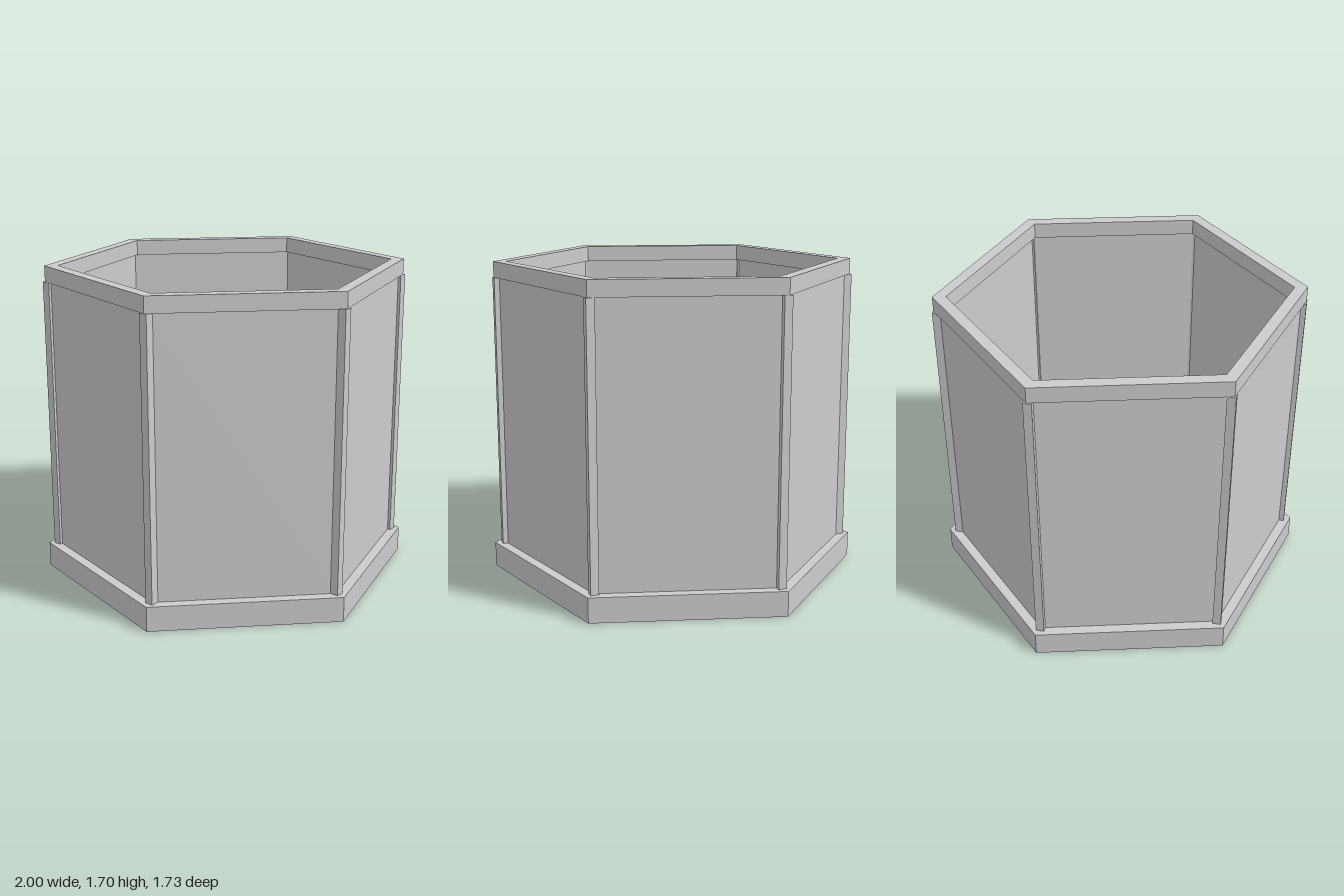
import * as THREE from 'three';

const SIDES = 6;
const BASE_TOP = 0.135, RIM_BOTTOM = 1.615, TOP = 1.7;
const WALL_R = 0.94, WALL_INNER_R = 0.92;
const APOTHEM = WALL_R * Math.cos(Math.PI / SIDES);

const material = new THREE.MeshStandardMaterial({ color: 0xcccccc, flatShading: true });

function addMesh(parent, name, geometry) {
  const mesh = new THREE.Mesh(geometry, material);
  mesh.name = name;
  parent.add(mesh);
  return mesh;
}

// Corners of a regular hexagon with points on the x axis
function hexPoints(r) {
  return Array.from({ length: SIDES }, (_, i) => {
    const a = (i / SIDES) * Math.PI * 2;
    return new THREE.Vector2(Math.cos(a) * r, Math.sin(a) * r);
  });
}

// Upright hexagonal prism, hollow when an inner radius is given
function hexPrism(outer, inner, y0, y1) {
  const shape = new THREE.Shape(hexPoints(outer));
  if (inner > 0) shape.holes.push(new THREE.Path(hexPoints(inner)));
  return new THREE.ExtrudeGeometry(shape, { depth: y1 - y0, bevelEnabled: false })
    .rotateX(-Math.PI / 2)
    .translate(0, y0, 0);
}

// Octagonal plate with a triangle, inlaid just under the wall surface
function createEmblem() {
  const emblem = new THREE.Group();
  const plate = addMesh(emblem, 'emblemPlate',
    new THREE.CylinderGeometry(0.225, 0.25, 0.01, 8).rotateX(Math.PI / 2));
  plate.position.set(0, 0.86, APOTHEM - 0.007);

  const triangle = new THREE.Shape([
    new THREE.Vector2(-0.155, 0.78),
    new THREE.Vector2(0.155, 0.78),
    new THREE.Vector2(0, 0.965),
  ]);
  const mark = addMesh(emblem, 'emblemTriangle',
    new THREE.ExtrudeGeometry(triangle, { depth: 0.01, bevelEnabled: false }));
  mark.position.z = APOTHEM - 0.011;
  return emblem;
}

export function createModel() {
  const model = new THREE.Group();
  model.name = 'hexagonalPlanter';

  // Solid foot, hollow wall and overhanging rim
  addMesh(model, 'base', hexPrism(1, 0, 0, BASE_TOP));
  addMesh(model, 'wall', hexPrism(WALL_R, WALL_INNER_R, BASE_TOP, RIM_BOTTOM));
  addMesh(model, 'rim', hexPrism(0.96, 0.89, RIM_BOTTOM, TOP));

  // Square corner posts, all set with their edges on the x and z axes
  const postHeight = RIM_BOTTOM - BASE_TOP;
  const postGeometry = new THREE.CylinderGeometry(0.031, 0.031, postHeight, 4);
  hexPoints(WALL_R).forEach((p, i) => {
    const post = addMesh(model, `cornerPost${i + 1}`, postGeometry);
    post.position.set(p.x, BASE_TOP + postHeight / 2, p.y);
  });

  // One inlay per side panel
  for (let i = 0; i < SIDES; i++) {
    const emblem = createEmblem();
    emblem.name = `panelEmblem${i + 1}`;
    emblem.rotation.y = (i / SIDES) * Math.PI * 2;
    model.add(emblem);
  }

  return model;
}
